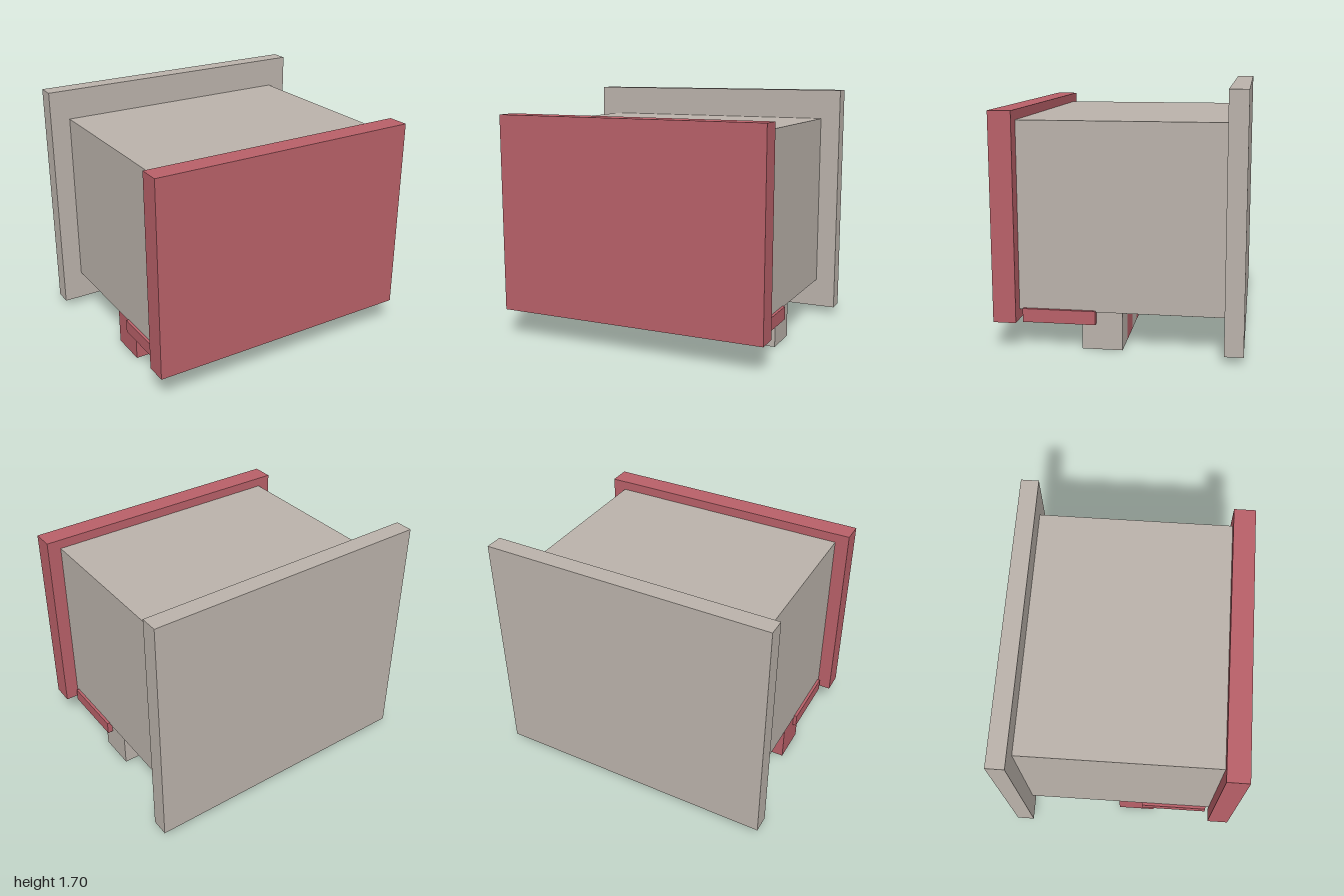
import * as THREE from 'three';

// Small shop lying on its back wall: storefront faces down, base plate at the rear.
export function createModel() {
  const group = new THREE.Group();
  const mat = (name, color) => {
    const m = new THREE.MeshStandardMaterial({ color });
    m.name = name;
    return m;
  };
  const stone = mat('warm grey', 0xbab2aa);
  const red = mat('muted red', 0xb86068);
  const glass = mat('pale teal', 0x9fb9b9);
  const wood = mat('brown', 0x98764f);

  // Box given by its limits on each axis
  const slab = (name, material, [x0, x1], [y0, y1], [z0, z1]) => {
    const mesh = new THREE.Mesh(new THREE.BoxGeometry(x1 - x0, y1 - y0, z1 - z0), material);
    mesh.position.set((x0 + x1) / 2, (y0 + y1) / 2, (z0 + z1) / 2);
    mesh.name = name;
    group.add(mesh);
  };

  // Main volume between the two end plates
  slab('body', stone, [-0.86, 0.86], [0.255, 1.49], [-0.685, 0.66]);
  slab('basePlate', stone, [-1, 1], [0.05, 1.7], [-0.805, -0.683]);
  slab('roofPlate', red, [-0.955, 0.955], [0.19, 1.555], [0.655, 0.805]);

  // Storefront details
  slab('signBoard', red, [-0.88, 0.88], [0.175, 0.265], [0.15, 0.63]);
  slab('windowPane', glass, [-0.755, 0.755], [0.22, 0.257], [-0.615, -0.02]);
  slab('door', wood, [-0.175, 0.175], [0.165, 0.205], [-0.684, -0.1]);

  // Striped awning
  const pitch = 0.2125;
  for (let i = 0; i < 8; i++) {
    const x = -0.855 + i * pitch;
    slab('awningStripe' + (i + 1), i % 2 ? stone : red, [x, x + 0.209], [0, 0.257], [-0.022, 0.243]);
  }
  return group;
}
